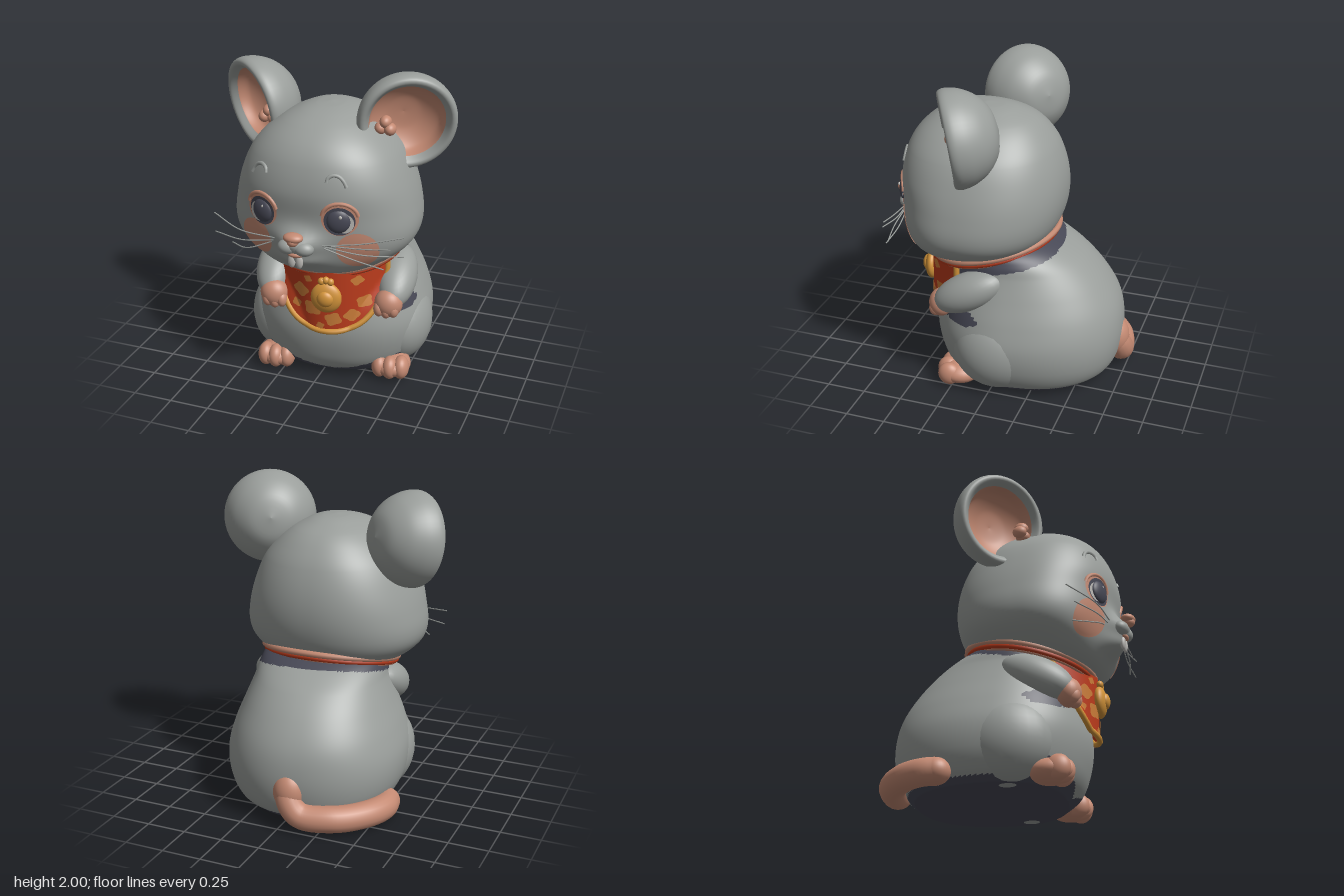
import * as THREE from 'three';

const V = (a) => new THREE.Vector3(...a);
const mat = (name, hex, side = THREE.FrontSide) => {
  const m = new THREE.MeshStandardMaterial({ color: hex, side });
  m.name = name;
  return m;
};
const D = THREE.DoubleSide;
const fur = mat('grey fur', 0x9a9e9b), pink = mat('pink skin', 0xc48a73, D);
const slate = mat('dark slate', 0x474855, D), red = mat('red cloth', 0xba3b1c, D);
const gold = mat('gold', 0xd2933a, D), ochre = mat('ochre print', 0xc97b38, D), pale = mat('pale', 0xb9b7b3, D);

// Cross-sections by height: [y, half width, front z, back z]
const HEAD = [[0.77, 0.15, 0.46, 0.12], [0.81, 0.31, 0.56, -0.03], [0.87, 0.435, 0.61, -0.17], [0.96, 0.54, 0.64, -0.26],
  [1.06, 0.575, 0.66, -0.31], [1.2, 0.56, 0.67, -0.335], [1.35, 0.52, 0.68, -0.325], [1.5, 0.455, 0.645, -0.28],
  [1.6, 0.375, 0.585, -0.22], [1.68, 0.275, 0.49, -0.14], [1.73, 0.175, 0.385, -0.04], [1.755, 0.09, 0.28, 0.05], [1.763, 0.01, 0.18, 0.16]];
const BODY = [[0.01, 0.44, 0.32, -0.6], [0.08, 0.51, 0.4, -0.68], [0.2, 0.56, 0.45, -0.722], [0.35, 0.57, 0.475, -0.73],
  [0.5, 0.53, 0.46, -0.7], [0.65, 0.47, 0.42, -0.615], [0.78, 0.42, 0.38, -0.5], [0.86, 0.4, 0.35, -0.39],
  [0.92, 0.36, 0.3, -0.28], [1.0, 0.2, 0.15, -0.1]];
const N = 2.25;

// Smooth interpolation of the cross-sections
function section(rows, y) {
  let i = 0;
  while (i < rows.length - 2 && y > rows[i + 1][0]) i++;
  const a = rows[i], b = rows[i + 1], p = rows[Math.max(i - 1, 0)], q = rows[Math.min(i + 2, rows.length - 1)];
  const h = b[0] - a[0], t = Math.min(1, Math.max(0, (y - a[0]) / h));
  return [1, 2, 3].map((k) => {
    const m0 = h * (b[k] - p[k]) / (b[0] - p[0]), m1 = h * (q[k] - a[k]) / (q[0] - a[0]);
    return (2 * t ** 3 - 3 * t * t + 1) * a[k] + (t ** 3 - 2 * t * t + t) * m0
      + (3 * t * t - 2 * t ** 3) * b[k] + (t ** 3 - t * t) * m1;
  });
}
const middle = (zf, zb) => zb + 0.55 * (zf - zb);
function frontZ(rows, x, y) {
  const [w, zf, zb] = section(rows, y), c = middle(zf, zb);
  return c + (zf - c) * Math.max(0, 1 - Math.abs(x / w) ** N) ** (1 / N);
}
// Forward swelling of the muzzle, chin and brow hollow
const swell = (x, y) => 0.1 * Math.exp(-(((x + 0.02) / 0.13) ** 2) - ((y - 1.045) / 0.075) ** 2)
  + 0.075 * Math.exp(-(((x + 0.02) / 0.13) ** 2) - ((y - 0.935) / 0.06) ** 2);
const headZ = (x, y) => frontZ(HEAD, x, y) + swell(x, y);

// Closed skin through the cross-sections; isDark picks faces for the second material
function loft(rows, bump, isDark, sub = 8, n = 128) {
  const pos = [], ys = [], first = [], second = [];
  rows.slice(1).forEach((r, i) => {
    for (let k = 0; k < sub; k++) ys.push(rows[i][0] + (r[0] - rows[i][0]) * k / sub);
  });
  ys.push(rows[rows.length - 1][0]);
  for (const y of ys) {
    const [w, zf, zb] = section(rows, y), c = middle(zf, zb);
    for (let i = 0; i < n; i++) {
      const a = i / n * 2 * Math.PI, s = Math.sin(a), k = Math.cos(a);
      const x = w * Math.sign(s) * Math.abs(s) ** (2 / N);
      pos.push(x, y, c + (k > 0 ? zf - c : c - zb) * Math.sign(k) * Math.abs(k) ** (2 / N) + (k > 0 ? bump(x, y) : 0));
    }
  }
  const face = (a, b, c) => {
    const m = [0, 1, 2].map((k) => (pos[a * 3 + k] + pos[b * 3 + k] + pos[c * 3 + k]) / 3);
    (isDark(...m) ? second : first).push(a, b, c);
  };
  for (let j = 0; j < ys.length - 1; j++) for (let i = 0; i < n; i++) {
    const a = j * n + i, b = j * n + (i + 1) % n;
    face(a, b, b + n); face(a, b + n, a + n);
  }
  const top = (ys.length - 1) * n;
  for (let i = 1; i < n - 1; i++) { face(0, i + 1, i); face(top, top + i, top + i + 1); }
  const g = new THREE.BufferGeometry();
  g.setAttribute('position', new THREE.Float32BufferAttribute(pos, 3));
  g.setIndex([...first, ...second]);
  g.addGroup(0, first.length, 0); g.addGroup(first.length, second.length, 1);
  g.computeVertexNormals();
  return g;
}

// Open sheet from fn(u, v) -> [x, y, z]
function sheet(nu, nv, fn) {
  const pos = [], idx = [];
  for (let j = 0; j <= nv; j++) for (let i = 0; i <= nu; i++) pos.push(...fn(i / nu, j / nv));
  for (let j = 0; j < nv; j++) for (let i = 0; i < nu; i++) {
    const a = j * (nu + 1) + i, b = a + nu + 1;
    idx.push(a, b, b + 1, a, b + 1, a + 1);
  }
  const g = new THREE.BufferGeometry();
  g.setAttribute('position', new THREE.Float32BufferAttribute(pos, 3));
  g.setIndex(idx); g.computeVertexNormals();
  return g;
}

export function createModel() {
  const root = new THREE.Group(), torso = new THREE.Group();
  root.name = 'mouse'; torso.name = 'torso';
  torso.rotation.y = 0.15; torso.position.x = 0.015;
  root.add(torso);
  const add = (parent, name, geo, m) => {
    const mesh = new THREE.Mesh(geo, m);
    mesh.name = name; parent.add(mesh);
    return mesh;
  };
  const ball = (parent, name, p, r, m) => {
    const b = add(parent, name, new THREE.SphereGeometry(1, 32, 20), m);
    b.position.set(...p); b.scale.set(...r);
    return b;
  };
  const tube = (parent, name, pts, r, m, closed = false, seg = 48) =>
    add(parent, name, new THREE.TubeGeometry(new THREE.CatmullRomCurve3(pts.map(V), closed), seg, r, r > 0.03 ? 20 : 8, closed), m);
  // Thin painted spot lying on a surface zAt(x, y)
  const spot = (parent, name, x, y, rx, ry, off, m, zAt, lobes = 0) =>
    add(parent, name, sheet(40, 8, (u, v) => {
      const a = -u * 2 * Math.PI, k = v * (1 + (lobes ? 0.13 * Math.cos(lobes * a + x * 40) : 0));
      const px = x + rx * k * Math.cos(a), py = y + ry * k * Math.sin(a);
      return [px, py, zAt(px, py) + off];
    }), m);

  // Body with dark base, neck band and underarm
  add(torso, 'body', loft(BODY, () => 0, (x, y, z) => y < (z > 0.2 ? 0.03 + 0.3 * Math.abs(x) : 0.05)
    || y > 0.79 - 0.23 * (z - 0.107)
    || (Math.abs(x) > 0.28 && Math.hypot((z - 0.27) / 0.13, (y - 0.51) / 0.05) < 1)), [fur, slate]);
  for (const s of [-1, 1]) {
    ball(torso, 'thigh', [s * 0.375, 0.275, 0.03], [0.215, 0.27, 0.285], fur);
    ball(torso, 'foot', [s * 0.37, 0.075, 0.28], [0.122, 0.075, 0.135], pink);
    ball(torso, 'arm', [s * 0.385, 0.665, 0.21], [0.125, 0.12, 0.24], fur).rotation.x = 0.45;
    ball(torso, 'paw', [s * 0.36, 0.56, 0.39], [0.088, 0.09, 0.078], pink);
    for (const k of [-1, 0, 1]) {
      ball(torso, 'toe', [s * 0.37 + k * 0.068, 0.08, 0.35 - Math.abs(k) * 0.015], [0.052, 0.076, 0.072], pink);
      ball(torso, 'finger', [s * 0.35 + k * 0.045, 0.52 + Math.abs(k) * 0.01, 0.42], [0.034, 0.05, 0.042], pink);
    }
  }

  // Tail curling along the ground
  tube(root, 'tail', [[-0.04, 0.28, -0.66], [-0.06, 0.18, -0.7], [-0.13, 0.1, -0.705], [-0.33, 0.085, -0.65],
    [-0.485, 0.082, -0.5], [-0.54, 0.08, -0.36], [-0.53, 0.08, -0.28]], 0.083, pink);
  ball(root, 'tailTip', [-0.53, 0.08, -0.28], [0.083, 0.08, 0.083], pink);
  ball(root, 'tailRoot', [-0.05, 0.235, -0.67], [0.105, 0.13, 0.1], pink);

  // Collar: two cords with red between
  const ring = (name, dy, grow, r, m) => tube(root, name, Array.from({ length: 24 }, (_, i) => {
    const a = i / 24 * 2 * Math.PI, z = (0.395 + grow) * Math.cos(a);
    return [(0.435 + grow) * Math.sin(a) + 0.01, 0.875 + dy - 0.23 * z, 0.107 + z];
  }), r, m, true, 96);
  ring('collarCord', 0.008, 0, 0.02, pink);
  ring('collarBand', -0.018, -0.012, 0.018, red);
  ring('lowerCord', -0.034, -0.02, 0.011, pink);

  // Bib with trim, print and bell
  const bibZ = (x, y) => Math.max(frontZ(BODY, x, y) + 0.02, 0.52 - 2 * x * x);
  const bibW = (t) => 0.335 * Math.max(0, 1 - t ** 2.5) ** 0.4;
  const bibAt = (u, t) => {
    const x = u * bibW(t), y = 0.81 - 0.42 * t;
    return [x, y, bibZ(x, y)];
  };
  add(torso, 'bib', sheet(32, 40, (u, v) => bibAt(2 * u - 1, Math.sin(v * Math.PI / 2))), red);
  const edge = Array.from({ length: 33 }, (_, i) => {
    const a = (i / 16 - 1) * Math.PI / 2;
    return bibAt(Math.sign(a), Math.cos(a));
  });
  tube(torso, 'bibTrim', edge, 0.018, gold, false, 96);
  for (const [x, y, r] of [[-0.17, 0.64, 0.05], [-0.09, 0.54, 0.055], [0.04, 0.48, 0.05], [0.18, 0.73, 0.035],
    [0.22, 0.58, 0.045], [0.15, 0.5, 0.045], [-0.2, 0.54, 0.03], [-0.12, 0.73, 0.025], [-0.04, 0.43, 0.025]])
    spot(torso, 'bibPrint', x, y, r, r * 0.85, 0.006, ochre, bibZ, 4);
  ball(torso, 'bell', [0, 0.63, 0.53], [0.096, 0.1, 0.045], gold);
  ball(torso, 'bellBoss', [0, 0.635, 0.562], [0.052, 0.052, 0.032], gold);
  for (const x of [-0.028, 0, 0.028]) ball(torso, 'bellKnot', [x, 0.748 - Math.abs(x) * 0.3, 0.535], [0.022, 0.024, 0.02], gold);

  // Head, mouth and nose
  add(root, 'head', loft(HEAD, swell, () => false), fur);
  for (const s of [-1, 1]) {
    ball(root, 'upperLip', [-0.02 + s * 0.05, 1.03, 0.715], [0.062, 0.045, 0.05], fur);
    ball(root, 'tooth', [-0.02 + s * 0.024, 0.945, 0.72], [0.023, 0.045, 0.017], pale);
  }
  ball(root, 'mouth', [-0.02, 0.99, 0.72], [0.05, 0.02, 0.03], pink);
  ball(root, 'nose', [-0.02, 1.108, 0.752], [0.06, 0.03, 0.045], pink);
  ball(root, 'noseTip', [-0.02, 1.088, 0.757], [0.035, 0.032, 0.038], pink);

  // Eyes, brows and cheeks
  for (const [s, x, y] of [[-1, -0.262, 1.2], [1, 0.225, 1.205]]) {
    const name = s < 0 ? 'right' : 'left';
    spot(root, name + 'Eyelid', x, y + 0.01, 0.105, 0.102, 0.004, pink, headZ);
    spot(root, name + 'EyeRim', x, y, 0.088, 0.088, 0.008, slate, headZ);
    spot(root, name + 'EyeWhite', x + s * 0.03, y - 0.012, 0.052, 0.06, 0.011, pale, headZ);
    ball(root, name + 'Iris', [x - s * 0.005, y, headZ(x, y) + 0.004], [0.07, 0.073, 0.03], slate).rotation.y = s * 0.3;
    ball(root, name + 'Glint', [x + 0.015, y + 0.035, headZ(x, y) + 0.028], [0.01, 0.011, 0.007], pale);
    tube(root, name + 'LidFold', Array.from({ length: 9 }, (_, i) => {
      const a = 0.2 + i / 8 * 2.75, px = x + 0.103 * Math.cos(a), py = y + 0.01 + 0.1 * Math.sin(a);
      return [px, py, headZ(px, py)];
    }), 0.012, pink);
    const bx = s < 0 ? -0.285 : 0.2;
    tube(root, name + 'Brow', [[0.06, -0.04], [0.04, -0.005], [0.012, 0.02], [-0.02, 0.025], [-0.045, 0.01], [-0.05, -0.015]].map(([dx, dy]) => {
      const px = bx + s * dx, py = 1.45 + dy;
      return [px, py, headZ(px, py)];
    }), 0.012, fur);
    spot(root, name + 'Cheek', s * 0.317, 1.01, 0.115, 0.118, 0.006, pink, headZ);
  }

  // Whiskers
  for (const [x0, y0, x1, y1, z1] of [[-0.17, 1.05, -0.625, 1.09, 0.54], [-0.18, 1.03, -0.6, 0.985, 0.58], [-0.2, 1.01, -0.51, 0.91, 0.54],
    [0.13, 1.05, 0.605, 1.15, 0.62], [0.14, 1.04, 0.6, 1.02, 0.6], [0.14, 1.03, 0.5, 0.95, 0.66], [0.14, 1.05, 0.54, 1.08, 0.66]]) {
    const mx = (x0 + x1) / 2, my = (y0 + y1) / 2 - 0.012;
    tube(root, 'whisker', [[x0, y0, headZ(x0, y0)], [mx, my, Math.max(0.655, headZ(mx, my) + 0.02)], [x1, y1, z1]], 0.004, fur, false, 16);
  }

  // Cupped ears with pink lining and a little tuft
  const P = (list) => new THREE.SplineCurve(list.map(([x, y]) => new THREE.Vector2(x, y))).getPoints(36)
    .map((p) => p.setX(Math.max(0, p.x)));
  const shell = P([[0, -0.275], [0.13, -0.25], [0.225, -0.18], [0.28, -0.09], [0.298, -0.01], [0.287, 0.033], [0.258, 0.038], [0.228, 0]]);
  const lining = P([[0.228, 0], [0.2, -0.07], [0.11, -0.125], [0, -0.14]]);
  for (const [name, p, turn, tuft] of [['rightEar', [-0.53, 1.66, 0.1], -0.66, [-0.4, 1.63, 0.19]],
    ['leftEar', [0.485, 1.695, 0.21], 0.47, [0.365, 1.665, 0.25]]]) {
    const ear = new THREE.Group();
    ear.name = name; ear.position.set(...p); ear.rotation.set(0.15, turn, 0, 'YXZ');
    root.add(ear);
    add(ear, 'earShell', new THREE.LatheGeometry(shell, 56), fur).rotation.x = Math.PI / 2;
    add(ear, 'earLining', new THREE.LatheGeometry(lining, 56), pink).rotation.x = Math.PI / 2;
    for (const [dx, dy] of [[0, 0.03], [-0.03, -0.01], [0.028, -0.012]])
      ball(root, 'earTuft', [tuft[0] + dx, tuft[1] + dy, tuft[2]], [0.036, 0.038, 0.045], pink);
  }
  return root;
}
